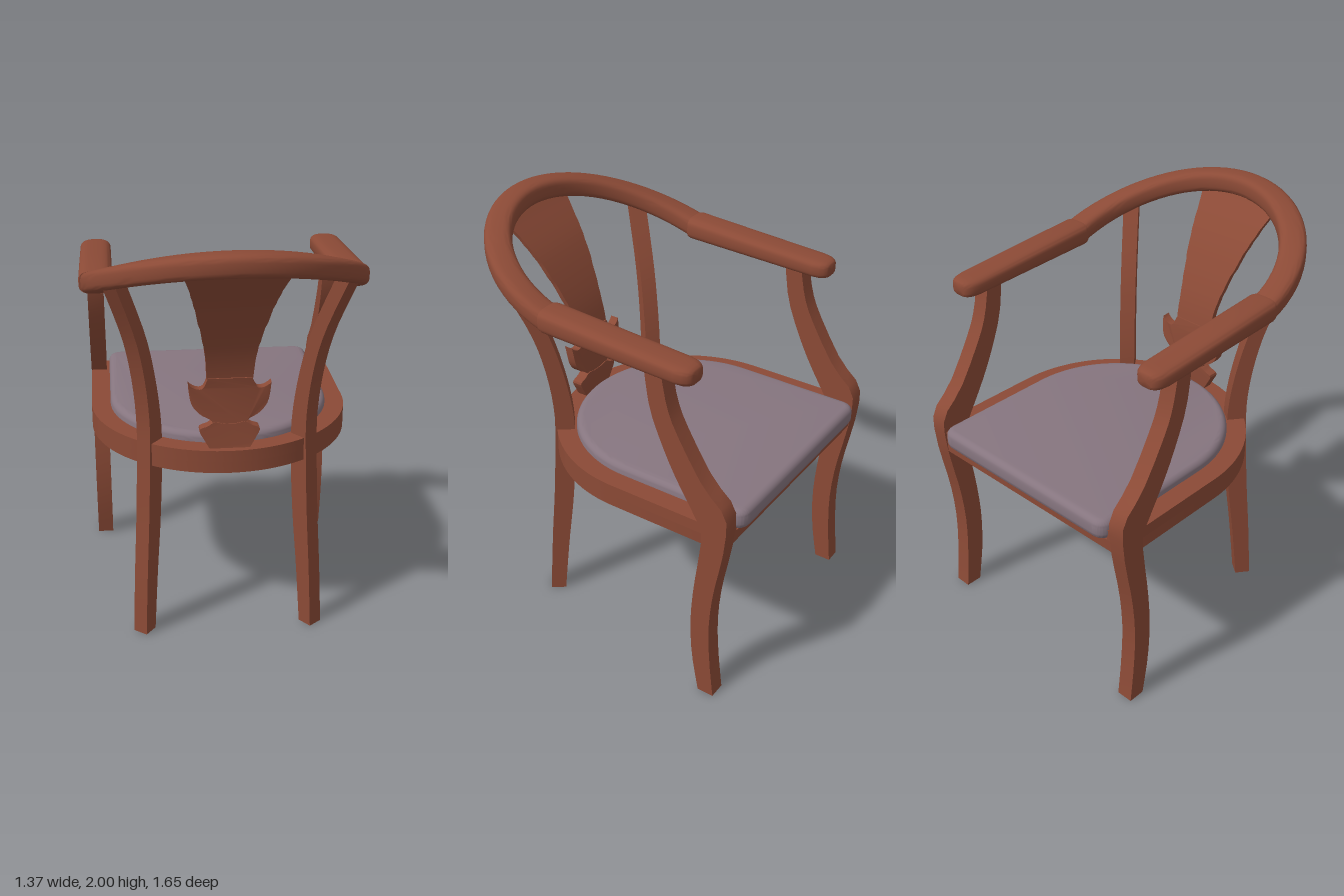
import * as THREE from 'three';
import { toCreasedNormals } from 'three/addons/utils/BufferGeometryUtils.js';

const wood = new THREE.MeshStandardMaterial({ color: 0x8b4a36 });
wood.name = 'reddish wood';
const fabric = new THREE.MeshStandardMaterial({ color: 0x86757f });
fabric.name = 'mauve fabric';

const V2 = (p) => new THREE.Vector2(p[0], p[1]);
const spline = (pts, n = 24) => new THREE.SplineCurve(pts.map(V2)).getPoints(n);

function part(name, geometry, material = wood, crease = 0.6) {
  const mesh = new THREE.Mesh(toCreasedNormals(geometry, crease), material);
  mesh.name = name;
  return mesh;
}

// Skin over rounded-rectangle sections: { c: centre, r: sideways axis, w, h: half sizes }
function loft(sections, sides = 32) {
  const pos = [], idx = [], soft = (v) => Math.sign(v) * Math.abs(v) ** 0.6;
  for (const { c, r, w, h } of sections) {
    for (let j = 0; j < sides; j++) {
      const a = (j / sides) * Math.PI * 2, x = soft(Math.cos(a)) * w, y = soft(Math.sin(a)) * h;
      pos.push(c[0] + r[0] * x, c[1] + y, c[2] + r[2] * x);
    }
  }
  const n = sections.length, start = n * sides, end = start + 1;
  pos.push(...sections[0].c, ...sections[n - 1].c);
  for (let j = 0; j < sides; j++) {
    const k = (j + 1) % sides, last = (n - 1) * sides;
    for (let i = 0; i < n - 1; i++) {
      const a = i * sides + j, b = i * sides + k;
      idx.push(a, b, a + sides, b, b + sides, a + sides);
    }
    idx.push(start, k, j, end, last + j, last + k);
  }
  const g = new THREE.BufferGeometry();
  g.setAttribute('position', new THREE.Float32BufferAttribute(pos, 3));
  g.setIndex(idx);
  return g;
}

// Curved plank between two edges, centred on its thickness
function plank(edgeA, edgeB, depth) {
  const shape = new THREE.Shape([...spline(edgeA), ...spline(edgeB).reverse()]);
  const g = new THREE.ExtrudeGeometry(shape, { depth, bevelEnabled: false });
  return g.translate(0, 0, -depth / 2);
}

// Seat plan: straight front and sides, half-round back
const SEAT_Z = -0.16;
function seatShape(w, front, r) {
  const s = new THREE.Shape();
  s.moveTo(w, SEAT_Z);
  s.absarc(0, SEAT_Z, w, 0, Math.PI, false);
  s.lineTo(-w, front + r);
  s.quadraticCurveTo(-w, front, -w + r, front);
  s.lineTo(w - r, front);
  s.quadraticCurveTo(w, front, w, front + r);
  s.closePath();
  return s;
}

// Lays a plan shape flat with its top at the given height
const slab = (shape, top, options) =>
  new THREE.ExtrudeGeometry(shape, { curveSegments: 32, bevelEnabled: false, ...options })
    .rotateX(Math.PI / 2).translate(0, top, 0);

// Backward sweep of the splat by height
const sweep = new THREE.SplineCurve([[0.98, 0.41], [1.1, 0.403], [1.26, 0.4], [1.47, 0.455],
  [1.71, 0.58], [1.9, 0.735], [1.95, 0.775]].map(V2)).getPoints(80);
function splatZ(y) {
  const i = Math.max(1, sweep.findIndex((p) => p.x >= y));
  const a = sweep[i - 1], b = sweep[i];
  return a.y + ((b.y - a.y) * (y - a.x)) / (b.x - a.x);
}
function bend(g, widthAt) {
  const p = g.attributes.position;
  for (let i = 0; i < p.count; i++) {
    const y = p.getY(i);
    if (widthAt) p.setX(i, p.getX(i) * widthAt(y));
    p.setZ(i, p.getZ(i) + splatZ(y));
  }
  return g;
}

export function createModel() {
  const chair = new THREE.Group();
  chair.name = 'armchair';

  // Seat frame: bottom panel plus a rim open at the front
  chair.add(part('seatPanel', slab(seatShape(0.628, -0.752, 0.002), 0.935, { depth: 0.055 })));
  const rim = new THREE.Shape();
  rim.moveTo(0.628, -0.752);
  rim.lineTo(0.628, SEAT_Z);
  rim.absarc(0, SEAT_Z, 0.628, 0, Math.PI, false);
  rim.lineTo(-0.628, -0.752);
  rim.lineTo(-0.525, -0.752);
  rim.lineTo(-0.525, SEAT_Z);
  rim.absarc(0, SEAT_Z, 0.525, Math.PI, 0, true);
  rim.lineTo(0.525, -0.752);
  rim.closePath();
  chair.add(part('seatRim', slab(rim, 0.99, { depth: 0.056 })));

  // Cushion with a rolled edge
  const roll = 0.035;
  chair.add(part('cushion', slab(seatShape(0.535 - roll, -0.79 + roll, 0.03), 1.035 - roll, {
    depth: 0.032, bevelEnabled: true, bevelSize: roll, bevelThickness: roll, bevelSegments: 6,
  }), fabric, 0.8));

  // Front legs running up into the arm posts
  const legFront = [[-0.722, 0], [-0.7, 0.2], [-0.69, 0.4], [-0.705, 0.6], [-0.74, 0.8], [-0.757, 0.92],
    [-0.755, 1.07], [-0.64, 1.19], [-0.51, 1.4], [-0.46, 1.52], [-0.43, 1.67]];
  const legRear = [[-0.64, 0], [-0.605, 0.2], [-0.593, 0.4], [-0.605, 0.6], [-0.63, 0.8], [-0.64, 0.94],
    [-0.6, 1.02], [-0.51, 1.17], [-0.44, 1.31], [-0.375, 1.48], [-0.346, 1.67]];
  // Back legs, in upright planes radiating from the seat centre
  const backInner = [[0.63, 0], [0.6, 0.3], [0.565, 0.6], [0.545, 0.9], [0.55, 1.1], [0.59, 1.32], [0.655, 1.53], [0.785, 1.8]];
  const backOuter = [[0.705, 0], [0.685, 0.3], [0.66, 0.6], [0.642, 0.9], [0.638, 1.1], [0.668, 1.32], [0.73, 1.53], [0.86, 1.8]];

  for (const [side, s] of [['left', 1], ['right', -1]]) {
    const front = part(side + 'FrontLegAndPost', plank(legFront, legRear, 0.08));
    front.rotation.y = -Math.PI / 2;
    front.position.x = s * 0.59;
    chair.add(front);

    const back = part(side + 'BackLegAndPost', plank(backInner, backOuter, 0.075));
    const angle = THREE.MathUtils.degToRad(52.3);
    back.rotation.y = s > 0 ? -angle : angle - Math.PI;
    back.position.z = SEAT_Z;
    chair.add(back);

    // Armrest with a rounded front end
    const stations = [[-0.577, 0.035, 0.028], [-0.572, 0.046, 0.034], [-0.56, 0.058, 0.039], [-0.54, 0.068, 0.042],
      [-0.505, 0.075, 0.043], [-0.2, 0.076, 0.048], [0.17, 0.076, 0.055], [0.187, 0.072, 0.052]];
    chair.add(part(side + 'Armrest', loft(stations.map(([z, w, h]) => (
      { c: [s * 0.581, 1.706 + z * 0.048, z], r: [1, 0, 0], w, h }))), wood, 0.8));
  }

  // Crest rail: half circle in plan, rising towards the back
  const rail = [];
  for (let i = 0; i <= 40; i++) {
    const t = (i / 40) * Math.PI, k = Math.sin(t);
    rail.push({
      c: [0.585 * Math.cos(t), 1.712 + 0.19 * k + 0.045 * k * k, 0.18 + 0.585 * k],
      r: [Math.cos(t), 0, Math.sin(t)], w: 0.063, h: 0.051,
    });
  }
  chair.add(part('crestRail', loft(rail), wood, 0.8));

  // Splat: flaring blade, scrolled collar and foot
  const widths = spline([[1.02, 0.1], [1.25, 0.1], [1.35, 0.105], [1.5, 0.12], [1.7, 0.165], [1.86, 0.21], [1.94, 0.25]], 60);
  const halfWidth = (y) => (widths.find((p) => p.x >= y) ?? widths[60]).y;
  const blade = new THREE.BoxGeometry(2, 0.72, 0.028, 1, 28, 1).translate(0, 1.57, 0);
  chair.add(part('splatBlade', bend(blade, halfWidth)));

  const mirrored = (half) => new THREE.Shape([...half, ...half.map((p) => new THREE.Vector2(-p.x, p.y)).reverse()]);
  const ornament = (name, half, depth) => {
    const g = new THREE.ExtrudeGeometry(mirrored(half), { depth, bevelEnabled: false });
    chair.add(part(name, bend(g.translate(0, 0, -depth / 2))));
  };
  ornament('splatCollar', [
    ...spline([[0.07, 1.09], [0.085, 1.125], [0.135, 1.155], [0.175, 1.21], [0.187, 1.305]], 14),
    ...spline([[0.18, 1.295], [0.15, 1.278], [0.12, 1.283], [0.1, 1.33]], 10),
  ], 0.042);
  ornament('splatFoot', spline([[0.09, 0.985], [0.115, 1.03], [0.138, 1.08], [0.1, 1.098], [0.07, 1.115], [0.03, 1.108]], 16), 0.05);

  // The chair stands slightly turned
  const model = new THREE.Group();
  model.name = 'chairModel';
  chair.children.forEach((m) => { m.position.x += 0.013; });
  chair.rotation.y = 0.085;
  model.add(chair);
  return model;
}
